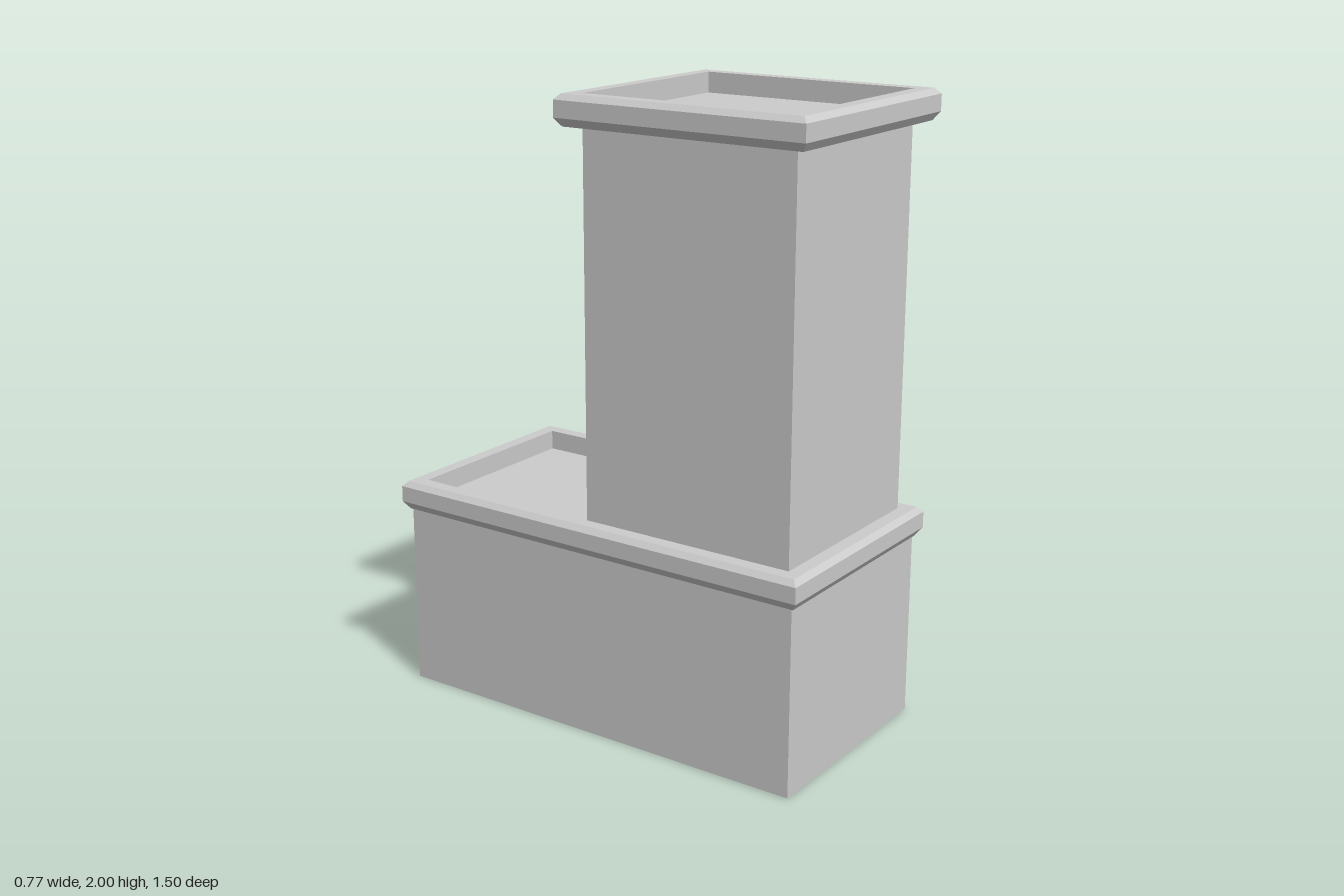
import * as THREE from 'three';

const material = new THREE.MeshStandardMaterial({ color: 0xcccccc, flatShading: true });

// Rim cross-section: [inset from the outer edge, height], going up the outside
const RIM_HEIGHT = 0.095;
const RIM_PROFILE = [
  [0.06, 0], [0.018, 0], [0, 0.026], [0, 0.078], [0.016, RIM_HEIGHT], [0.06, RIM_HEIGHT],
];

// Sweeps the rim profile around a rectangle with mitred corners
function rimGeometry(halfX, halfZ) {
  const corners = [[1, 1], [1, -1], [-1, -1], [-1, 1]];
  const n = RIM_PROFILE.length;
  const positions = [];
  const point = (c, p) => {
    const [sx, sz] = corners[c % 4];
    const [inset, y] = RIM_PROFILE[p % n];
    return [sx * (halfX - inset), y, sz * (halfZ - inset)];
  };
  for (let c = 0; c < 4; c++) {
    for (let p = 0; p < n; p++) {
      const a = point(c, p), b = point(c + 1, p);
      const d = point(c + 1, p + 1), e = point(c, p + 1);
      positions.push(...a, ...b, ...d, ...a, ...d, ...e);
    }
  }
  const geometry = new THREE.BufferGeometry();
  geometry.setAttribute('position', new THREE.Float32BufferAttribute(positions, 3));
  geometry.computeVertexNormals();
  return geometry;
}

function addBlock(group, name, width, depth, y0, y1, z) {
  const mesh = new THREE.Mesh(new THREE.BoxGeometry(width, y1 - y0, depth), material);
  mesh.name = name;
  mesh.position.set(0, (y0 + y1) / 2, z);
  group.add(mesh);
}

function addRim(group, name, halfX, halfZ, top, z) {
  const mesh = new THREE.Mesh(rimGeometry(halfX, halfZ), material);
  mesh.name = name;
  mesh.position.set(0, top - RIM_HEIGHT, z);
  group.add(mesh);
}

export function createModel() {
  const group = new THREE.Group();
  group.name = 'steppedPedestal';

  // Low block; its top is the sunken floor inside the rim
  addBlock(group, 'base', 0.726, 1.45, 0, 0.63, 0);
  addRim(group, 'baseRim', 0.385, 0.75, 0.695, 0);

  // Tall block towards the front, with its own sunken top
  addBlock(group, 'tower', 0.65, 0.725, 0.63, 1.935, 0.3275);
  addRim(group, 'towerRim', 0.385, 0.4225, 2, 0.3275);

  return group;
}
